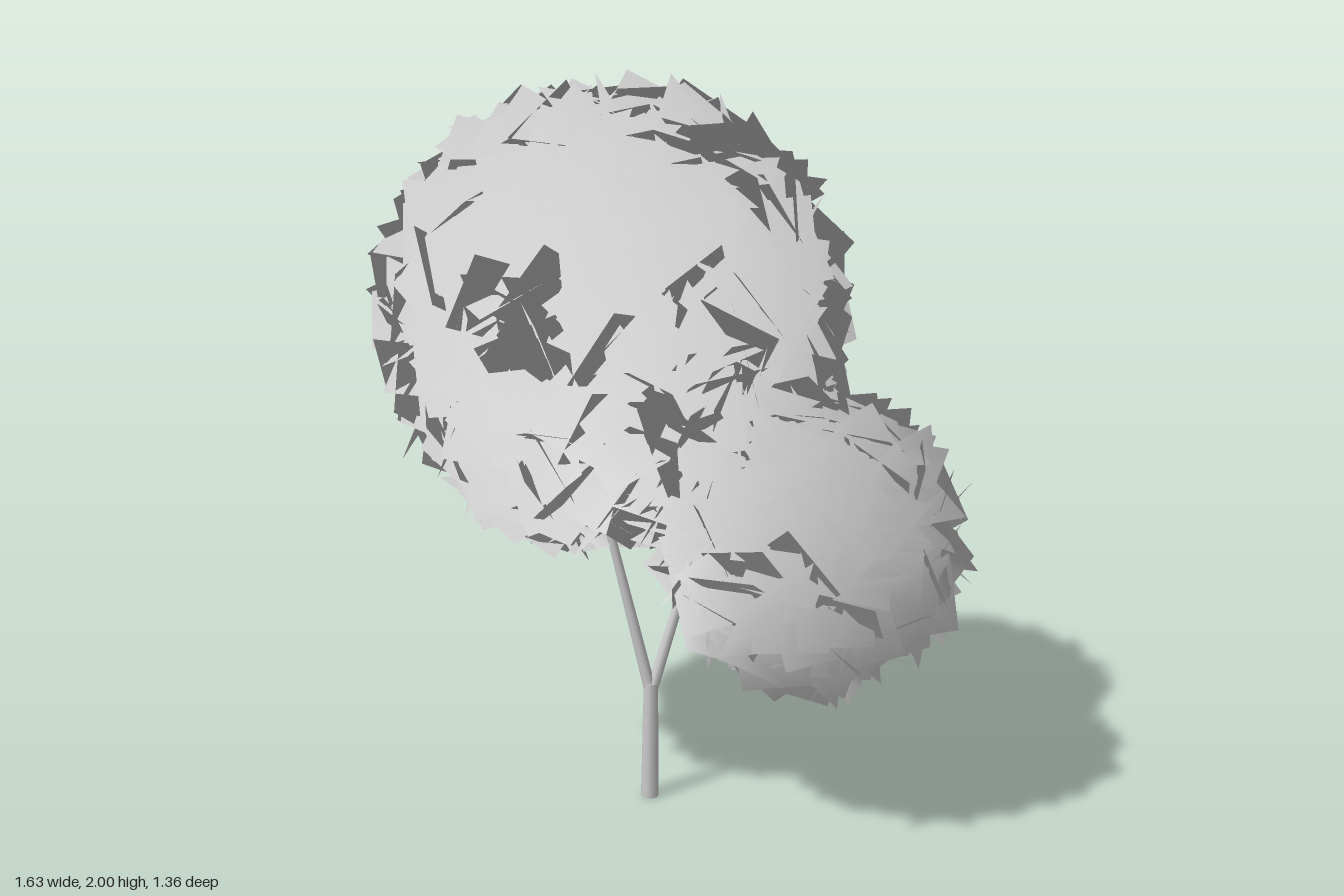
import * as THREE from 'three';

const bark = new THREE.MeshStandardMaterial({ color: 0xcccccc });
const leaf = new THREE.MeshStandardMaterial({ color: 0xcccccc, side: THREE.DoubleSide });

// Small seeded generator, values in -1..1
function seeded(seed) {
  return () => {
    seed = (seed * 16807) % 2147483647;
    return (seed / 2147483647) * 2 - 1;
  };
}

// Tapered limb between two points
function limb(name, from, to, r0, r1) {
  const dir = to.clone().sub(from);
  const geo = new THREE.CylinderGeometry(r1, r0, dir.length(), 10);
  const mesh = new THREE.Mesh(geo, bark);
  mesh.name = name;
  mesh.position.copy(from).addScaledVector(dir, 0.5);
  mesh.quaternion.setFromUnitVectors(new THREE.Vector3(0, 1, 0), dir.normalize());
  return mesh;
}

// Ball of overlapping square leaf cards, strongly tilted so corners poke out;
// the normals fan out from a point low in the crown for soft shading
function foliage(name, center, radius, count, size, shadeCenter, seed) {
  const rnd = seeded(seed);
  const positions = [], normals = [], index = [];
  const forward = new THREE.Vector3(0, 0, 1);
  const out = new THREE.Vector3(), p = new THREE.Vector3(), n = new THREE.Vector3();
  const q = new THREE.Quaternion(), tilt = new THREE.Quaternion(), euler = new THREE.Euler();
  for (let i = 0; i < count; i++) {
    const y = 1 - (2 * (i + 0.5)) / count;
    const a = i * 2.39996 + rnd() * 0.15;
    const ring = Math.sqrt(1 - y * y);
    out.set(ring * Math.cos(a), y, ring * Math.sin(a));
    q.setFromUnitVectors(forward, out);
    euler.set(rnd() * 0.95, rnd() * 0.95, rnd() * Math.PI, 'XYZ');
    q.multiply(tilt.setFromEuler(euler));
    for (const [u, v] of [[-1, -1], [1, -1], [1, 1], [-1, 1]]) {
      p.set(u * size / 2, v * size / 2, 0).applyQuaternion(q).addScaledVector(out, radius).add(center);
      n.copy(p).sub(shadeCenter).normalize();
      positions.push(p.x, p.y, p.z);
      normals.push(n.x, n.y, n.z);
    }
    const b = i * 4;
    index.push(b, b + 1, b + 2, b, b + 2, b + 3);
  }
  const geo = new THREE.BufferGeometry();
  geo.setAttribute('position', new THREE.Float32BufferAttribute(positions, 3));
  geo.setAttribute('normal', new THREE.Float32BufferAttribute(normals, 3));
  geo.setIndex(index);
  const mesh = new THREE.Mesh(geo, leaf);
  mesh.name = name;
  return mesh;
}

export function createModel() {
  const tree = new THREE.Group();
  tree.name = 'tree';

  // Trunk and its fork
  const base = new THREE.Vector3(0.02, 0, 0.01);
  const fork = new THREE.Vector3(0.025, 0.34, 0.01);
  tree.add(limb('trunk', base, fork, 0.025, 0.02));
  tree.add(limb('largeCrownBranch', fork.clone().setY(0.31), new THREE.Vector3(-0.09, 1.0, 0.13), 0.017, 0.009));
  tree.add(limb('smallCrownBranch', fork.clone().setY(0.31), new THREE.Vector3(0.08, 0.86, -0.16), 0.017, 0.009));

  // Large and small leaf balls
  const large = new THREE.Vector3(-0.135, 1.345, 0.015);
  const small = new THREE.Vector3(0.38, 0.785, -0.25);
  const shadeCenter = new THREE.Vector3(0.12, 0.42, -0.03);
  tree.add(foliage('largeCrown', large, 0.555, 620, 0.21, shadeCenter, 71));
  tree.add(foliage('smallCrown', small, 0.328, 260, 0.2, shadeCenter, 1234));
  return tree;
}
